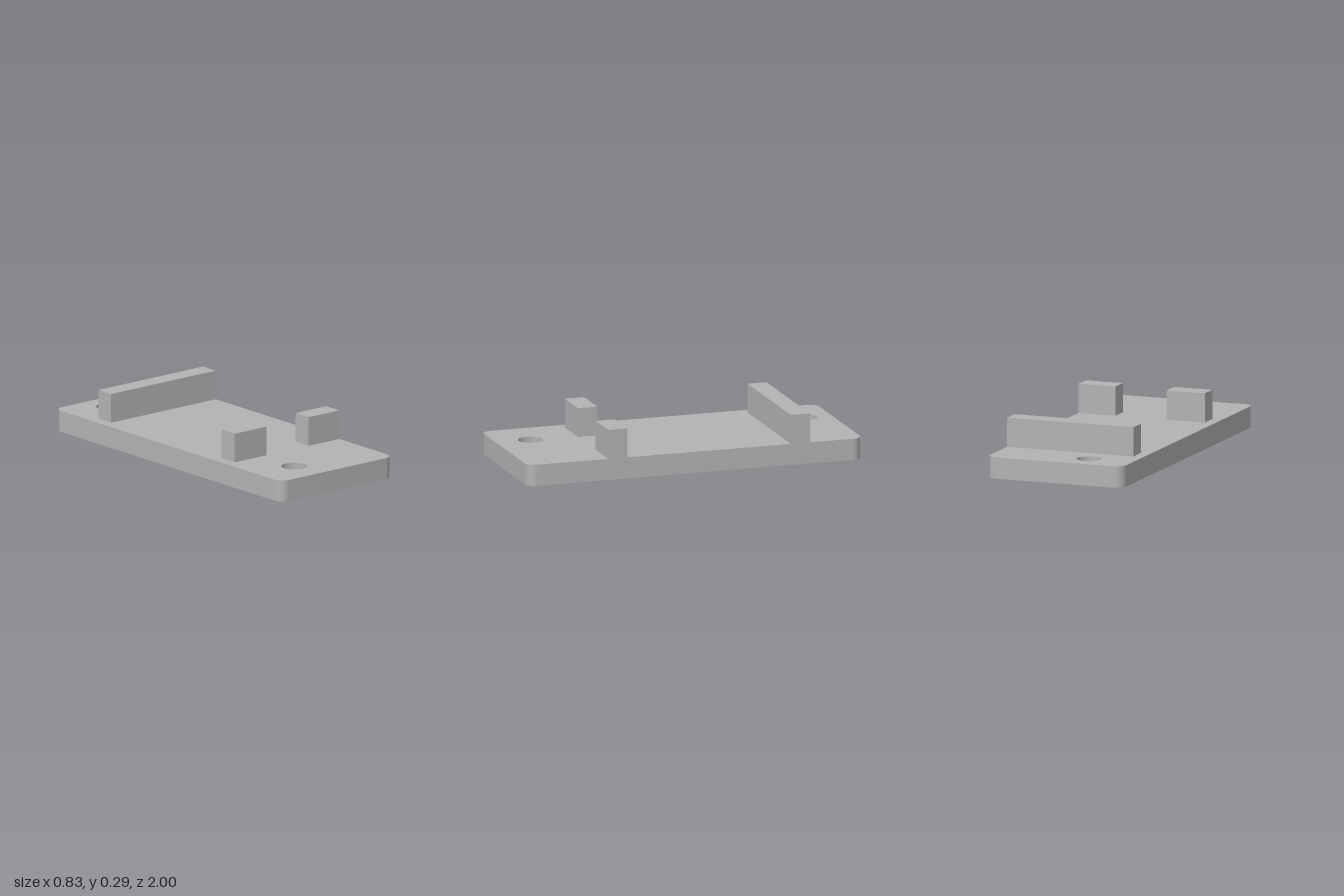
import * as THREE from 'three';
import { toCreasedNormals } from 'three/addons/utils/BufferGeometryUtils.js';

const HALF_W = 0.415, HALF_L = 1, CORNER = 0.06;
const BASE_H = 0.123, TOP = 0.291;

// Rounded rectangle outline with two screw holes
function plateShape() {
  const s = new THREE.Shape();
  const x = HALF_W - CORNER, y = HALF_L - CORNER;
  s.absarc(x, y, CORNER, 0, Math.PI / 2);
  s.absarc(-x, y, CORNER, Math.PI / 2, Math.PI);
  s.absarc(-x, -y, CORNER, Math.PI, Math.PI * 1.5);
  s.absarc(x, -y, CORNER, Math.PI * 1.5, Math.PI * 2);
  for (const z of [-0.84, 0.795]) {
    const hole = new THREE.Path();
    hole.absarc(-0.147, -z, 0.072, 0, Math.PI * 2, true);
    s.holes.push(hole);
  }
  return s;
}

export function createModel() {
  const group = new THREE.Group();
  const grey = new THREE.MeshStandardMaterial({ color: 0xb3b3b3 });
  grey.name = 'grey';

  // Base plate
  const plate = new THREE.ExtrudeGeometry(plateShape(), {
    depth: BASE_H, bevelEnabled: false, curveSegments: 16,
  });
  plate.rotateX(-Math.PI / 2);
  const base = new THREE.Mesh(toCreasedNormals(plate, 0.6), grey);
  base.name = 'basePlate';
  group.add(base);

  // Upright blocks standing on the plate: name, x range, z range
  const blocks = [
    ['backRail', -0.355, HALF_W, -0.683, -0.57],
    ['frontRightBlock', -0.355, -0.122, 0.405, 0.52],
    ['frontLeftBlock', 0.19, HALF_W, 0.405, 0.52],
  ];
  for (const [name, x0, x1, z0, z1] of blocks) {
    const block = new THREE.Mesh(new THREE.BoxGeometry(x1 - x0, TOP - BASE_H, z1 - z0), grey);
    block.position.set((x0 + x1) / 2, (TOP + BASE_H) / 2, (z0 + z1) / 2);
    block.name = name;
    group.add(block);
  }
  return group;
}
